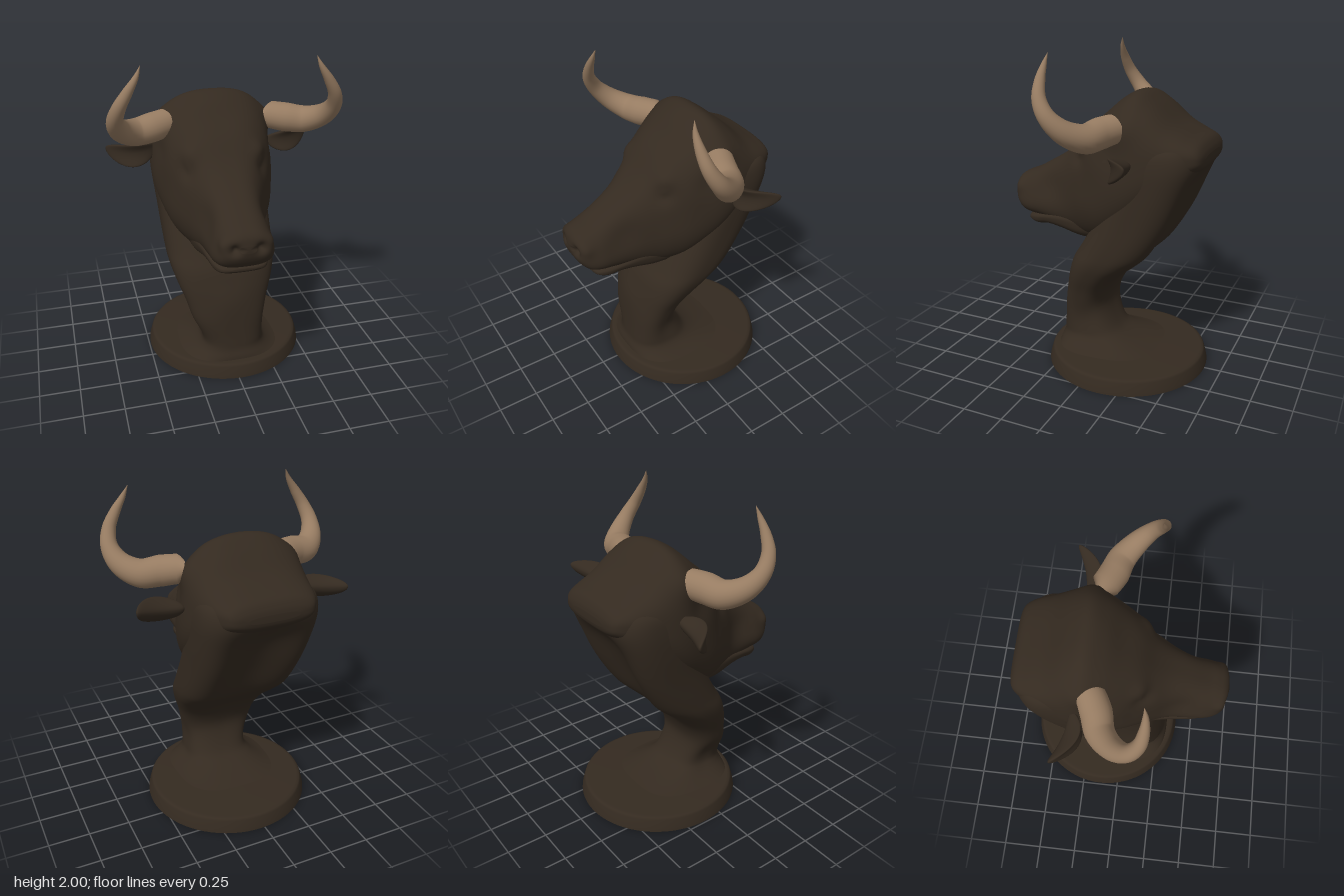
import * as THREE from 'three';

const hide = new THREE.MeshStandardMaterial({ color: 0x342a20 });
hide.name = 'darkBronze';
const horn = new THREE.MeshStandardMaterial({ color: 0x977c62 });
horn.name = 'hornTan';

const SEG = 96;
const spow = (v, e) => Math.sign(v) * Math.pow(Math.abs(v), e);

// Smoothly interpolate rows of key values
function sample(keys, steps) {
  const out = [];
  const last = keys.length - 1;
  for (let i = 0; i <= last * steps; i++) {
    const k = Math.min(Math.floor(i / steps), last - 1);
    const t = i / steps - k;
    out.push(keys[k].map((b, c) => {
      const a = keys[Math.max(k - 1, 0)][c];
      const n = keys[k + 1][c];
      const d = keys[Math.min(k + 2, last)][c];
      return b + 0.5 * t * (n - a + t * (2 * a - 5 * b + 4 * n - d + t * (3 * (b - n) + d - a)));
    }));
  }
  return out;
}

// Skin closed rings; point(row, u, v) gives a position for u, v on a rounded square
function loft(keys, steps, roundness, point) {
  const rows = sample(keys, steps);
  const pos = [];
  const idx = [];
  for (const row of rows) {
    for (let j = 0; j < SEG; j++) {
      const a = (j / SEG) * Math.PI * 2;
      pos.push(...point(row, spow(Math.cos(a), roundness), spow(Math.sin(a), roundness)));
    }
  }
  const n = rows.length;
  pos.push(...point(rows[0], 0, 0), ...point(rows[n - 1], 0, 0));
  for (let j = 0; j < SEG; j++) {
    const k = (j + 1) % SEG;
    for (let i = 0; i < n - 1; i++) {
      const a = i * SEG + j, b = i * SEG + k;
      idx.push(a, a + SEG, b, b, a + SEG, b + SEG);
    }
    idx.push(n * SEG, j, k, n * SEG + 1, (n - 1) * SEG + k, (n - 1) * SEG + j);
  }
  const geo = new THREE.BufferGeometry();
  geo.setAttribute('position', new THREE.Float32BufferAttribute(pos, 3));
  geo.setIndex(idx);
  geo.computeVertexNormals();
  return geo;
}

// Push the surface in or out around points: [x, y, z, radius, amount]
function sculpt(geo, bumps) {
  const p = geo.attributes.position, nor = geo.attributes.normal;
  const v = new THREE.Vector3(), q = new THREE.Vector3(), n = new THREE.Vector3();
  for (let i = 0; i < p.count; i++) {
    v.fromBufferAttribute(p, i);
    n.fromBufferAttribute(nor, i);
    let push = 0;
    for (const [x, y, z, r, amount] of bumps) {
      push += amount * Math.exp(-v.distanceToSquared(q.set(x, y, z)) / (r * r));
    }
    v.addScaledVector(n, push);
    p.setXYZ(i, v.x, v.y, v.z);
  }
  geo.computeVertexNormals();
  return geo;
}

// Head rows: z, top, bottom, half width, taper, centre x
const headPoint = ([z, top, bottom, w, taper, cx], u, v) =>
  [cx + w * u * (1 + taper * v), (top + bottom) / 2 + ((top - bottom) / 2) * v, z];

const headKeys = [
  [0.655, 1.09, 1.05, 0.05, 0, -0.025],
  [0.645, 1.135, 1.01, 0.1, -0.1, -0.025],
  [0.62, 1.165, 0.965, 0.135, -0.15, -0.025],
  [0.58, 1.185, 0.93, 0.158, -0.2, -0.025],
  [0.52, 1.21, 0.915, 0.175, -0.22, -0.025],
  [0.44, 1.255, 0.9, 0.183, -0.2, -0.025],
  [0.30, 1.34, 0.86, 0.198, -0.12, -0.025],
  [0.20, 1.425, 0.835, 0.232, -0.05, -0.03],
  [0.10, 1.54, 0.815, 0.28, -0.02, -0.03],
  [0.00, 1.625, 0.825, 0.33, -0.01, -0.03],
  [-0.10, 1.705, 0.88, 0.362, -0.04, -0.03],
  [-0.20, 1.75, 0.95, 0.378, -0.07, -0.03],
  [-0.30, 1.695, 1.04, 0.375, -0.06, -0.03],
  [-0.42, 1.59, 1.17, 0.35, -0.04, -0.03],
  [-0.52, 1.53, 1.27, 0.315, 0, -0.03],
  [-0.59, 1.495, 1.32, 0.275, 0, -0.03],
  [-0.62, 1.455, 1.35, 0.23, 0, -0.03],
  [-0.63, 1.42, 1.38, 0.15, 0, -0.03],
];

const jawKeys = [
  [0.56, 0.905, 0.89, 0.07, 0, -0.025],
  [0.54, 0.92, 0.872, 0.13, 0, -0.025],
  [0.48, 0.945, 0.85, 0.165, 0.06, -0.025],
  [0.40, 0.96, 0.86, 0.182, 0.08, -0.025],
  [0.30, 0.98, 0.842, 0.195, 0.08, -0.025],
  [0.15, 1.00, 0.805, 0.215, 0.08, -0.03],
  [0.00, 1.05, 0.82, 0.235, 0.08, -0.03],
  [-0.10, 1.05, 0.90, 0.2, 0, -0.03],
];

// Neck rows: y, front, back, half width, centre x, depth of the hollow nape
const neckPoint = ([y, front, back, w, cx, dish], u, v) =>
  [cx + w * u, y, (front + back) / 2 + ((front - back) / 2) * v
    + dish * Math.max(0, -v) ** 2 * (1 - u * u) ** 2];

const neckKeys = [
  [0.085, 0.32, -0.42, 0.36, 0.01, 0],
  [0.115, 0.315, -0.28, 0.28, 0.01, 0],
  [0.16, 0.30, -0.14, 0.22, 0.01, 0],
  [0.22, 0.295, -0.06, 0.205, 0.01, 0],
  [0.36, 0.285, 0.00, 0.235, -0.015, 0],
  [0.48, 0.265, -0.03, 0.265, -0.02, 0],
  [0.60, 0.24, -0.13, 0.31, -0.02, 0.02],
  [0.70, 0.21, -0.265, 0.34, -0.02, 0.05],
  [0.80, 0.15, -0.38, 0.35, -0.02, 0.09],
  [1.00, 0.04, -0.51, 0.358, -0.025, 0.13],
  [1.20, -0.06, -0.59, 0.37, -0.03, 0.11],
  [1.35, -0.12, -0.63, 0.37, -0.03, 0.03],
  [1.45, -0.16, -0.61, 0.345, -0.03, 0],
  [1.50, -0.22, -0.56, 0.27, -0.03, 0],
];

// Horn rows: x, y, z, radius
const hornKeys = [
  [0.30, 1.575, -0.165, 0.04], [0.335, 1.575, -0.145, 0.085], [0.42, 1.565, -0.105, 0.09],
  [0.53, 1.555, -0.07, 0.083], [0.62, 1.60, 0.01, 0.067],
  [0.655, 1.68, 0.09, 0.05], [0.635, 1.77, 0.145, 0.04],
  [0.585, 1.86, 0.165, 0.03], [0.535, 1.94, 0.165, 0.016],
  [0.508, 2.0, 0.155, 0.001],
];

function hornGeometry(side) {
  const curve = new THREE.CatmullRomCurve3(
    hornKeys.map(([x, y, z]) => new THREE.Vector3(x * side, y, z)));
  const rows = 64, radial = 24;
  const geo = new THREE.TubeGeometry(curve, rows, 1, radial);
  const p = geo.attributes.position, v = new THREE.Vector3();
  for (let i = 0; i <= rows; i++) {
    const c = curve.getPointAt(i / rows);
    const s = curve.getUtoTmapping(i / rows) * (hornKeys.length - 1);
    const k = Math.min(Math.floor(s), hornKeys.length - 2);
    const r = THREE.MathUtils.lerp(hornKeys[k][3], hornKeys[k + 1][3], s - k);
    for (let j = 0; j <= radial; j++) {
      const n = i * (radial + 1) + j;
      v.fromBufferAttribute(p, n).sub(c).multiplyScalar(r).add(c);
      p.setXYZ(n, v.x, v.y, v.z);
    }
  }
  return geo;
}

// Leaf-shaped ear, swept back and cupped on its front face; tilt raises or drops the tip
function earGeometry(tilt) {
  const geo = new THREE.SphereGeometry(1, 40, 28);
  const p = geo.attributes.position;
  for (let i = 0; i < p.count; i++) {
    const X = p.getX(i), Y = p.getY(i), Z = p.getZ(i);
    const tall = Y > 0 ? 0.06 : 0.085;
    p.setXYZ(i,
      0.5 + 0.155 * X,
      1.395 + tall * Y + tilt * X + 0.015 * X * X,
      -0.2 - 0.045 * X - 0.1 * X * X + 0.04 * Z - 0.05 * Z * Z);
  }
  geo.computeVertexNormals();
  return geo;
}

export function createModel() {
  const model = new THREE.Group();
  model.name = 'bullBust';
  const add = (name, geo, mat = hide) => {
    const mesh = new THREE.Mesh(geo, mat);
    mesh.name = name;
    model.add(mesh);
    return mesh;
  };

  // Round plinth
  const profile = [[0, 0], [0.515, 0], [0.515, 0], [0.512, 0.02], [0.497, 0.075],
    [0.488, 0.088], [0.47, 0.093], [0.3, 0.1], [0, 0.11]];
  add('plinth', new THREE.LatheGeometry(profile.map(([x, y]) => new THREE.Vector2(x, y)), 72))
    .position.set(0.025, 0, -0.127);

  add('neck', sculpt(loft(neckKeys, 5, 0.75, neckPoint), [
    [-0.02, 0.5, 0.27, 0.12, 0.015], [0.2, 0.3, 0.1, 0.08, -0.015], [-0.22, 0.26, 0.1, 0.08, -0.015],
  ]));

  // Nostrils, brows, eyes, cheeks, jowls and horn roots, mirrored about the head's centre
  const bumps = [[-0.03, 1.72, -0.1, 0.1, 0.01]];
  for (const s of [-1, 1]) {
    const x = (d) => -0.028 + s * d;
    bumps.push(
      [x(0.075), 1.07, 0.635, 0.032, -0.045], [x(0.125), 1.09, 0.6, 0.04, 0.015],
      [x(0.22), 1.45, 0.13, 0.06, 0.02], [x(0.25), 1.37, 0.15, 0.06, -0.025],
      [x(0.24), 1.385, 0.14, 0.025, 0.014],
      [x(0.18), 1.14, 0.38, 0.1, -0.02], [x(0.27), 1.08, 0.08, 0.13, 0.01],
      [x(0.36), 1.42, -0.1, 0.08, -0.015], [s * 0.34, 1.58, -0.2, 0.08, 0.025]);
  }
  add('head', sculpt(loft(headKeys, 6, 0.7, headPoint), bumps));
  add('lowerJaw', loft(jawKeys, 5, 0.72, headPoint));

  for (const s of [-1, 1]) {
    const side = s > 0 ? 'left' : 'right';
    add(side + 'Horn', hornGeometry(s), horn);
    const ear = add(side + 'Ear', earGeometry(s > 0 ? 0.03 : -0.01));
    ear.scale.x = s;
    if (s < 0) ear.position.set(-0.03, -0.025, 0);
  }
  return model;
}
